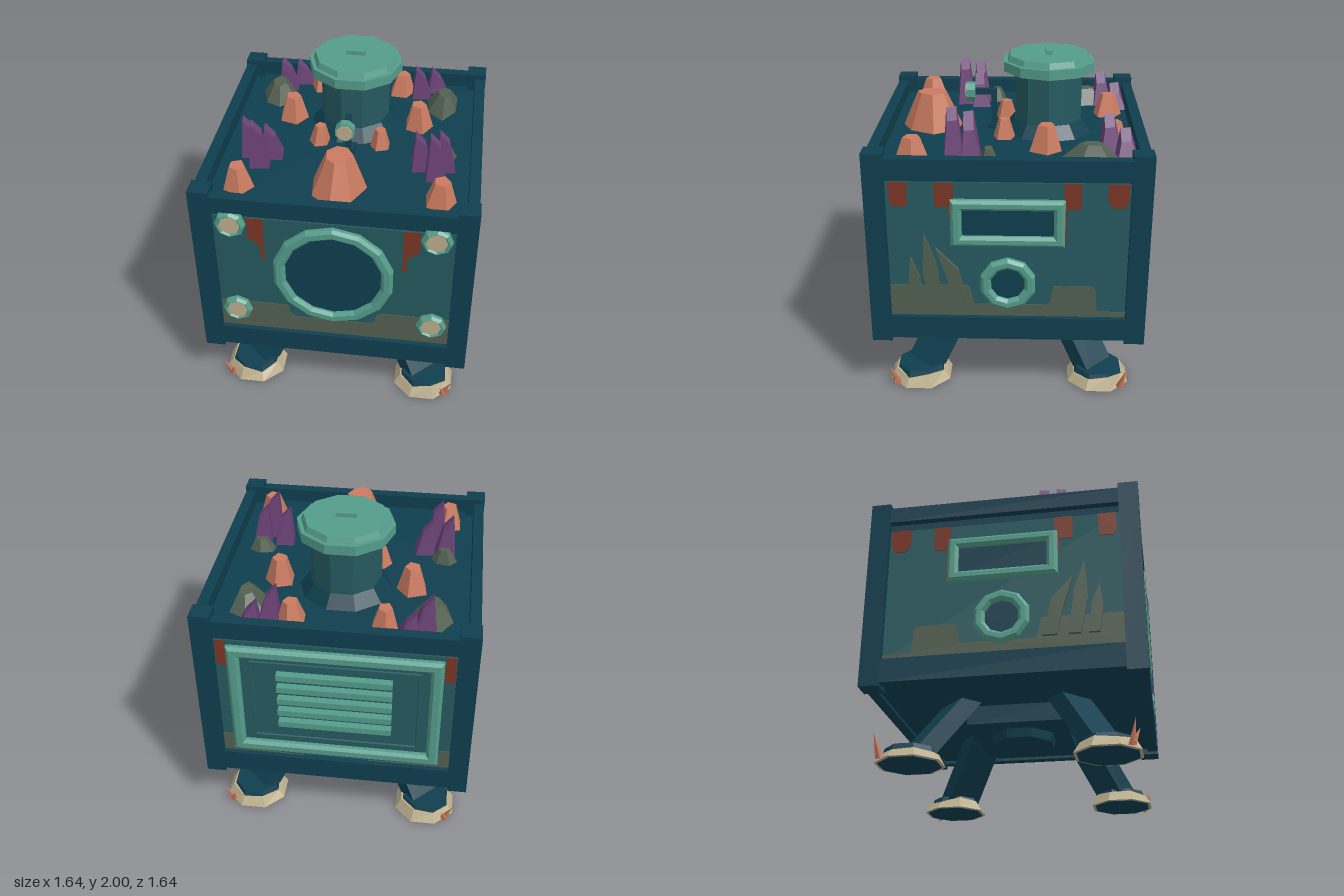
import * as THREE from 'three';

const mat = (name, color) => {
  const m = new THREE.MeshStandardMaterial({ color });
  m.name = name;
  return m;
};

export function createModel() {
  const root = new THREE.Group();
  root.name = 'underwaterMachine';
  const navy = mat('navy frame', 0x0f3e4e), teal = mat('teal panel', 0x25595f);
  const green = mat('verdigris trim', 0x549c8a), coral = mat('coral', 0xc97a5f);
  const sand = mat('sand', 0xbbae8c), purple = mat('purple crystal', 0x6a4175);
  const olive = mat('olive algae', 0x525f50), rust = mat('rust', 0x7a3524);
  const DECK = 1.49;

  let seed = 7;
  const rnd = () => (seed = (seed * 16807) % 2147483647) / 2147483647;

  const add = (parent, name, geo, m, x = 0, y = 0, z = 0) => {
    const mesh = new THREE.Mesh(geo, m);
    mesh.name = name;
    mesh.position.set(x, y, z);
    parent.add(mesh);
    return mesh;
  };
  const box = (parent, name, m, w, h, d, x, y, z) => add(parent, name, new THREE.BoxGeometry(w, h, d), m, x, y, z);
  // faceted look through split normals
  const flat = (geo) => {
    const g = geo.index ? geo.toNonIndexed() : geo;
    g.computeVertexNormals();
    return g;
  };
  const warp = (geo, rule) => {
    const p = geo.attributes.position, v = new THREE.Vector3();
    for (let i = 0; i < p.count; i++) {
      rule(v.fromBufferAttribute(p, i));
      p.setXYZ(i, v.x, v.y, v.z);
    }
    return flat(geo);
  };
  // upright faceted drum between two heights
  const drum = (parent, name, m, rTop, rBottom, y0, y1, n, x = 0, z = 0, turn = Math.PI / n) =>
    add(parent, name, flat(new THREE.CylinderGeometry(rTop, rBottom, y1 - y0, n).rotateY(turn)), m, x, (y0 + y1) / 2, z);

  // outlines and wall fittings; each wall group has its outside at local +z
  const ngon = (n, r, cx, cy) => Array.from({ length: n }, (_, i) => {
    const a = Math.PI / 2 + i * 2 * Math.PI / n;
    return [cx + r * Math.cos(a), cy + r * Math.sin(a)];
  });
  const rect = (w, h, cx, cy) => [[cx - w, cy - h], [cx + w, cy - h], [cx + w, cy + h], [cx - w, cy + h]];
  const vecs = (pts) => pts.map(([x, y]) => new THREE.Vector2(x, y));
  const plate = (parent, name, m, pts, z = 0.78, depth = 0.005) =>
    add(parent, name, new THREE.ExtrudeGeometry(new THREE.Shape(vecs(pts)), { depth, bevelEnabled: false }), m, 0, 0, z);
  const frame = (parent, name, m, outer, inner, bevel = 0.018) => {
    const s = new THREE.Shape(vecs(outer));
    s.holes.push(new THREE.Path(vecs(inner)));
    const g = new THREE.ExtrudeGeometry(s, { depth: 0.03, bevelEnabled: true, bevelThickness: 0.018, bevelSize: bevel, bevelSegments: 1 });
    return add(parent, name, g, m, 0, 0, 0.772);
  };
  const wall = (name, turn) => {
    const g = new THREE.Group();
    g.name = name;
    g.rotation.y = turn;
    root.add(g);
    box(g, 'panel', teal, 1.42, 0.865, 0.02, 0, 0.9975, 0.77);
    box(g, 'topBeam', navy, 1.42, 0.1, 0.065, 0, 1.53, 0.7825);
    box(g, 'bottomBeam', navy, 1.42, 0.145, 0.065, 0, 0.4925, 0.7825);
    return g;
  };

  // hull and corner posts
  box(root, 'hull', navy, 1.54, DECK - 0.44, 1.54, 0, (DECK + 0.44) / 2, 0);
  for (const sx of [-1, 1]) for (const sz of [-1, 1])
    box(root, 'cornerPost', navy, 0.12, 1.21, 0.12, sx * 0.76, 1.005, sz * 0.76);

  // front: large round window, four bolts, stains
  const front = wall('frontWall', 0);
  frame(front, 'windowRing', green, ngon(14, 0.345, 0, 1.05), ngon(14, 0.31, 0, 1.05));
  plate(front, 'windowGlass', navy, ngon(14, 0.32, 0, 1.05), 0.784);
  plate(front, 'algaeStain', olive, [[-0.7, 0.565], [0.7, 0.565], [0.7, 0.77], [0.29, 0.77], [0.26, 0.75], [0.25, 0.7],
    [0.22, 0.68], [-0.24, 0.68], [-0.27, 0.71], [-0.28, 0.77], [-0.7, 0.77]]);
  for (const s of [-1, 1]) {
    plate(front, 'rustStreak', rust, [[0.5, 1.43], [0.5, 1.27], [0.46, 1.27], [0.46, 1.24], [0.43, 1.24], [0.43, 1.13],
      [0.405, 1.13], [0.405, 1.43]].map(([x, y]) => [x * s, y]));
    for (const y of [0.72, 1.385]) {
      frame(front, 'boltRing', green, ngon(8, 0.075, s * 0.595, y), ngon(8, 0.071, s * 0.595, y), 0.015);
      plate(front, 'boltHead', sand, ngon(8, 0.07, s * 0.595, y), 0.805);
    }
  }

  // both sides: oblong window, porthole, weed and stains
  for (const s of [-1, 1]) {
    const side = wall(s > 0 ? 'leftWall' : 'rightWall', s * Math.PI / 2);
    const flip = (pts) => pts.map(([x, y]) => [x * s, y]);
    frame(side, 'oblongFrame', green, rect(0.312, 0.127, 0, 1.185), rect(0.283, 0.1, 0, 1.185));
    plate(side, 'oblongGlass', navy, rect(0.29, 0.11, 0, 1.185), 0.784);
    frame(side, 'portholeRing', green, ngon(10, 0.15, 0, 0.79), ngon(10, 0.122, 0, 0.79));
    plate(side, 'portholeGlass', navy, ngon(10, 0.13, 0, 0.79), 0.784);
    plate(side, 'algaeStain', olive, flip([[-0.7, 0.565], [0.7, 0.565], [0.7, 0.6], [0.53, 0.6], [0.52, 0.75], [0.5, 0.77],
      [0.27, 0.77], [0.25, 0.66], [0.23, 0.645], [-0.2, 0.645], [-0.23, 0.77], [-0.7, 0.77]]));
    for (const pts of [
      [[-0.68, 1.43], [-0.68, 1.31], [-0.66, 1.28], [-0.58, 1.28], [-0.57, 1.43]],
      [[-0.42, 1.43], [-0.42, 1.28], [-0.34, 1.28], [-0.34, 1.2], [-0.31, 1.2], [-0.31, 1.43]],
      [[0.32, 1.43], [0.32, 1.05], [0.34, 1.05], [0.34, 1.27], [0.42, 1.27], [0.42, 1.43]],
      [[0.57, 1.43], [0.57, 1.33], [0.6, 1.28], [0.67, 1.28], [0.69, 1.33], [0.69, 1.43]]
    ]) plate(side, 'rustStreak', rust, flip(pts));
    for (const pts of [
      [[-0.56, 0.65], [-0.585, 0.8], [-0.57, 0.96], [-0.52, 0.83], [-0.5, 0.65]],
      [[-0.455, 0.65], [-0.5, 0.87], [-0.487, 1.115], [-0.42, 0.92], [-0.385, 0.65]],
      [[-0.32, 0.65], [-0.36, 0.83], [-0.42, 1.02], [-0.29, 0.88], [-0.235, 0.65]]
    ]) plate(side, 'weedBlade', olive, flip(pts), 0.78, 0.025);
  }

  // back: framed louvre
  const back = wall('backWall', Math.PI);
  frame(back, 'louvreFrame', green, rect(0.612, 0.382, 0, 1), rect(0.575, 0.345, 0, 1));
  frame(back, 'louvreInnerRim', teal, rect(0.5, 0.29, 0, 1), rect(0.49, 0.28, 0, 1), 0.006).position.z = 0.742;
  for (let i = 0; i < 5; i++) box(back, 'louvreSlat', green, 0.68, 0.04, 0.05, 0, 1.21 - i * 0.09, 0.8);
  for (const s of [-1, 1]) {
    plate(back, 'rustStreak', rust, rect(0.03, 0.09, s * 0.665, 1.34));
    plate(back, 'algaeStain', olive, [[s * 0.7, 0.565], [s * 0.7, 0.7], [s * 0.64, 0.7], [s * 0.6, 0.58], [s * 0.2, 0.565]]);
  }

  // hatch tower
  const tower = new THREE.Group();
  tower.name = 'hatchTower';
  tower.position.z = -0.23;
  root.add(tower);
  drum(tower, 'towerSkirt', navy, 0.22, 0.29, DECK - 0.01, DECK + 0.08, 10);
  drum(tower, 'towerBody', teal, 0.215, 0.215, DECK, 1.89, 10);
  drum(tower, 'hatchRim', green, 0.29, 0.29, 1.88, 1.94, 10);
  drum(tower, 'hatchLid', green, 0.25, 0.265, 1.94, 1.975, 10);
  box(tower, 'hatchHandle', green, 0.12, 0.03, 0.04, 0, 1.985, 0);

  // periscope
  box(root, 'periscopeBase', navy, 0.085, 0.03, 0.085, 0, DECK + 0.015, 0.11);
  box(root, 'periscopeTube', navy, 0.034, 0.25, 0.034, 0, 1.615, 0.11);
  box(root, 'periscopeArm', navy, 0.034, 0.034, 0.15, 0, 1.725, 0.168);
  const eyepiece = (r, d) => flat(new THREE.CylinderGeometry(r, r, d, 8).rotateY(Math.PI / 8).rotateX(Math.PI / 2));
  add(root, 'periscopeHead', eyepiece(0.06, 0.055), green, 0, 1.725, 0.255);
  add(root, 'periscopeLens', eyepiece(0.05, 0.008), sand, 0, 1.725, 0.285);

  // irregular faceted lumps on the deck
  const lump = (name, m, x, z, rx, rz, h, n, top) => {
    const k = Array.from({ length: n }, () => 0.86 + 0.2 * rnd()), turn = rnd();
    const dx = (rnd() - 0.5) * 0.2;
    add(root, name, warp(new THREE.CylinderGeometry(top, 1, 1, n, 1).rotateY(turn), (v) => {
      const r = Math.hypot(v.x, v.z);
      const i = Math.round((Math.atan2(v.x, v.z) - turn) * n / (2 * Math.PI) + 2 * n) % n;
      const f = r > 0.01 ? k[i] : 1;
      v.set((v.x * f + (v.y > 0 ? dx : 0)) * rx, (v.y + 0.5) * h, v.z * f * rz);
    }), m, x, DECK, z);
  };
  lump('largeCoral', coral, -0.01, 0.5, 0.165, 0.21, 0.23, 7, 0.48);
  for (const s of [-1, 1]) {
    for (const [x, z, r, h] of [[0.405, -0.22, 0.1, 0.16], [0.265, -0.625, 0.09, 0.14], [0.19, 0.04, 0.068, 0.12], [0.59, 0.56, 0.105, 0.145]])
      lump('smallCoral', coral, s * x, z, r, r * 1.05, h, 5, 0.5);
    lump('rock', olive, s * 0.545, -0.485, 0.115, 0.185, 0.1, 6, 0.4);
    lump('pebble', olive, s * 0.583, 0.117, 0.09, 0.063, 0.08, 6, 0.45);
  }

  // purple crystals: tapered square prisms with slanted tips
  for (const [x, z, top] of [[-0.58, 0.22, 1.73], [-0.45, 0.22, 1.69], [-0.51, 0.32, 1.775],
    [0.46, 0.23, 1.72], [0.6, 0.22, 1.735], [0.55, 0.32, 1.775],
    [-0.41, -0.69, 1.64], [-0.5, -0.6, 1.69], [0.5, -0.69, 1.64], [0.4, -0.6, 1.69]]) {
    const h = top - DECK - 0.02;
    add(root, 'crystal', warp(new THREE.CylinderGeometry(0.042, 0.085, h, 4).rotateY(Math.PI / 4 + 0.1), (v) => {
      if (v.y > 0) v.set(v.x - 0.012, v.y - v.x * 1.1, v.z + 0.01);
    }), purple, x, DECK + h / 2, z);
  }

  // underside hub
  box(root, 'legMount', navy, 0.6, 0.13, 0.6, 0, 0.39, 0);
  drum(root, 'underDrum', navy, 0.21, 0.195, 0.27, 0.34, 8);

  // splayed legs, sandy feet and coral twigs
  const spike = (parent, a, b, r) => {
    const from = new THREE.Vector3(...a), dir = new THREE.Vector3(...b).sub(from);
    const g = flat(new THREE.ConeGeometry(r, dir.length(), 5));
    const m = add(parent, 'coralTwig', g, coral);
    m.position.copy(from).addScaledVector(dir, 0.5);
    m.quaternion.setFromUnitVectors(new THREE.Vector3(0, 1, 0), dir.normalize());
  };
  for (const sx of [-1, 1]) for (const sz of [-1, 1]) {
    const leg = new THREE.Group();
    leg.name = 'leg';
    root.add(leg);
    const turn = sx * sz * Math.PI / 4;
    add(leg, 'strut', warp(new THREE.BoxGeometry(0.22, 0.4, 0.14).rotateY(turn), (v) => {
      v.x -= sx * 0.56 * v.y;
      v.z -= sz * 0.56 * v.y;
    }), navy, sx * 0.435, 0.25, sz * 0.435);
    drum(leg, 'boot', navy, 0.145, 0.185, 0, 0.092, 8, sx * 0.565, sz * 0.565);
    const bank = new THREE.CylinderGeometry(0.165, 0.205, 0.06, 8).rotateY(Math.PI / 8);
    const lift = Array.from({ length: 8 }, () => rnd() * 0.028 - 0.012);
    add(leg, 'sandBank', warp(bank, (v) => {
      const i = Math.round(Math.atan2(v.x, v.z) * 4 / Math.PI + 15.5) % 8;
      if (v.y > 0 && Math.hypot(v.x, v.z) > 0.01) v.y += lift[i];
    }), sand, sx * 0.565, 0.034, sz * 0.565);
    spike(leg, [sx * 0.7, 0.01, sz * 0.7], [sx * 0.75, 0.15, sz * 0.73], 0.024);
    spike(leg, [sx * 0.71, 0.02, sz * 0.71], [sx * 0.68, 0.115, sz * 0.75], 0.018);
  }
  return root;
}
